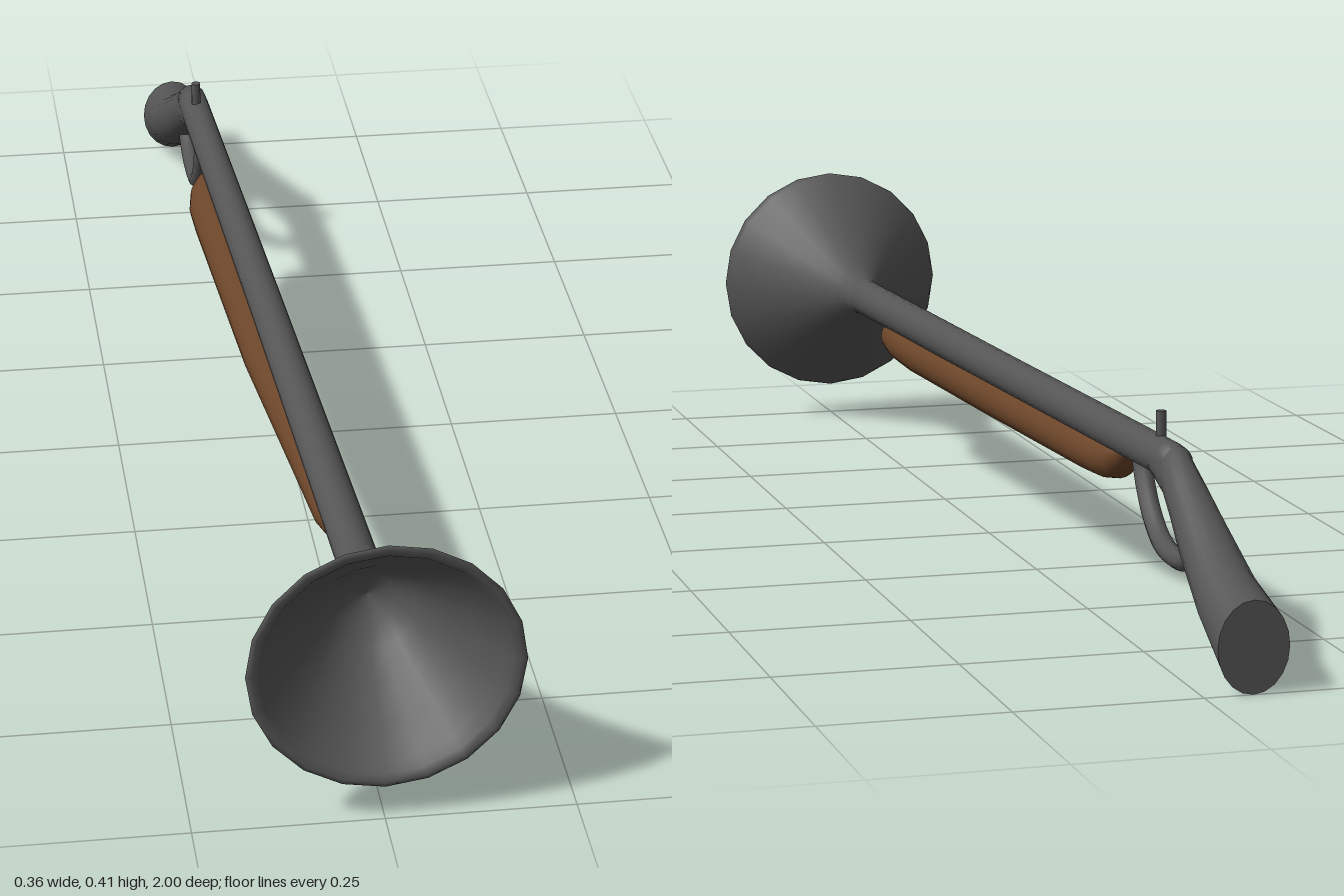
import * as THREE from 'three';

// Skin of elliptical rings, each station [x, y, z, rx, ry]; a repeated station makes a sharp edge
function loft(stations, n) {
  const pos = [], idx = [];
  stations.forEach(([x, y, z, rx, ry = rx], j) => {
    for (let i = 0; i < n; i++) {
      const a = (i / n) * Math.PI * 2;
      pos.push(x + Math.cos(a) * rx, y + Math.sin(a) * ry, z);
      if (j === 0) continue;
      const k = (i + 1) % n, p = (j - 1) * n, q = j * n;
      idx.push(p + i, p + k, q + k, p + i, q + k, q + i);
    }
  });
  const g = new THREE.BufferGeometry();
  g.setAttribute('position', new THREE.Float32BufferAttribute(pos, 3));
  g.setIndex(idx);
  g.computeVertexNormals();
  return g;
}

export function createModel() {
  const group = new THREE.Group();
  const iron = new THREE.MeshStandardMaterial({ color: 0x555555 });
  iron.name = 'darkIron';
  const wood = new THREE.MeshStandardMaterial({ color: 0x6b4529 });
  wood.name = 'brownWood';
  const add = (name, geometry, material) => {
    const m = new THREE.Mesh(geometry, material);
    m.name = name;
    group.add(m);
    return m;
  };

  // Slightly yawed barrel
  add('barrel', loft([
    [-0.064, 0.235, -0.69, 0.0001], [-0.064, 0.235, -0.69, 0.022, 0.024],
    [-0.063, 0.235, -0.66, 0.023, 0.026], [-0.031, 0.235, 0.05, 0.025, 0.027],
    [0, 0.235, 0.78, 0.028],
  ], 20), iron);

  // Flared muzzle: outside, rounded lip, then the hollow inside
  add('bell', loft([
    [0, 0.235, 0.75, 0.027], [0, 0.235, 0.78, 0.031], [0, 0.233, 0.81, 0.044],
    [0, 0.231, 0.85, 0.067], [0, 0.23, 0.9, 0.1], [0, 0.229, 0.95, 0.139],
    [0, 0.228, 0.99, 0.174], [0, 0.228, 0.998, 0.18], [0, 0.228, 1, 0.173],
    [0, 0.228, 0.995, 0.163], [0, 0.228, 0.98, 0.153], [0, 0.228, 0.94, 0.122],
    [0, 0.229, 0.9, 0.09], [0, 0.23, 0.86, 0.06], [0, 0.231, 0.835, 0.036],
    [0, 0.232, 0.825, 0.0001],
  ], 20), iron);

  // Butt stock sweeping down to a flat end
  const butt = [-0.065, 0.061, -1, 0.048, 0.061];
  add('stock', loft([
    [-0.065, 0.061, -1, 0.0001], butt, butt,
    [-0.065, 0.099, -0.9, 0.043, 0.046], [-0.065, 0.153, -0.8, 0.035, 0.043],
    [-0.065, 0.19, -0.74, 0.029, 0.039], [-0.064, 0.22, -0.69, 0.024, 0.038],
    [-0.062, 0.234, -0.63, 0.022, 0.027], [-0.062, 0.235, -0.63, 0.0001],
  ], 20), iron);

  // Wooden fore-end under the barrel
  add('foreEnd', loft([
    [-0.067, 0.205, -0.455, 0.0001], [-0.067, 0.202, -0.45, 0.016, 0.018],
    [-0.067, 0.193, -0.43, 0.027, 0.029], [-0.066, 0.188, -0.39, 0.034, 0.031],
    [-0.063, 0.187, -0.33, 0.035, 0.032], [-0.04, 0.187, 0.1, 0.034, 0.032],
    [-0.014, 0.19, 0.45, 0.028, 0.03], [-0.009, 0.193, 0.55, 0.025, 0.028],
    [-0.006, 0.197, 0.595, 0.019, 0.022], [-0.006, 0.202, 0.612, 0.01, 0.012],
    [-0.006, 0.204, 0.615, 0.0001],
  ], 20), wood);

  // Trigger guard
  const guardPath = new THREE.CatmullRomCurve3([
    [0.225, -0.54], [0.195, -0.552], [0.153, -0.583], [0.12, -0.63],
    [0.11, -0.68], [0.115, -0.74], [0.14, -0.8],
  ].map(([y, z]) => new THREE.Vector3(-0.062, y, z)));
  add('triggerGuard', new THREE.TubeGeometry(guardPath, 28, 0.014, 10), iron);

  // Rear sight post
  add('sight', new THREE.CylinderGeometry(0.007, 0.007, 0.06, 10), iron)
    .position.set(-0.064, 0.264, -0.62);

  return group;
}
